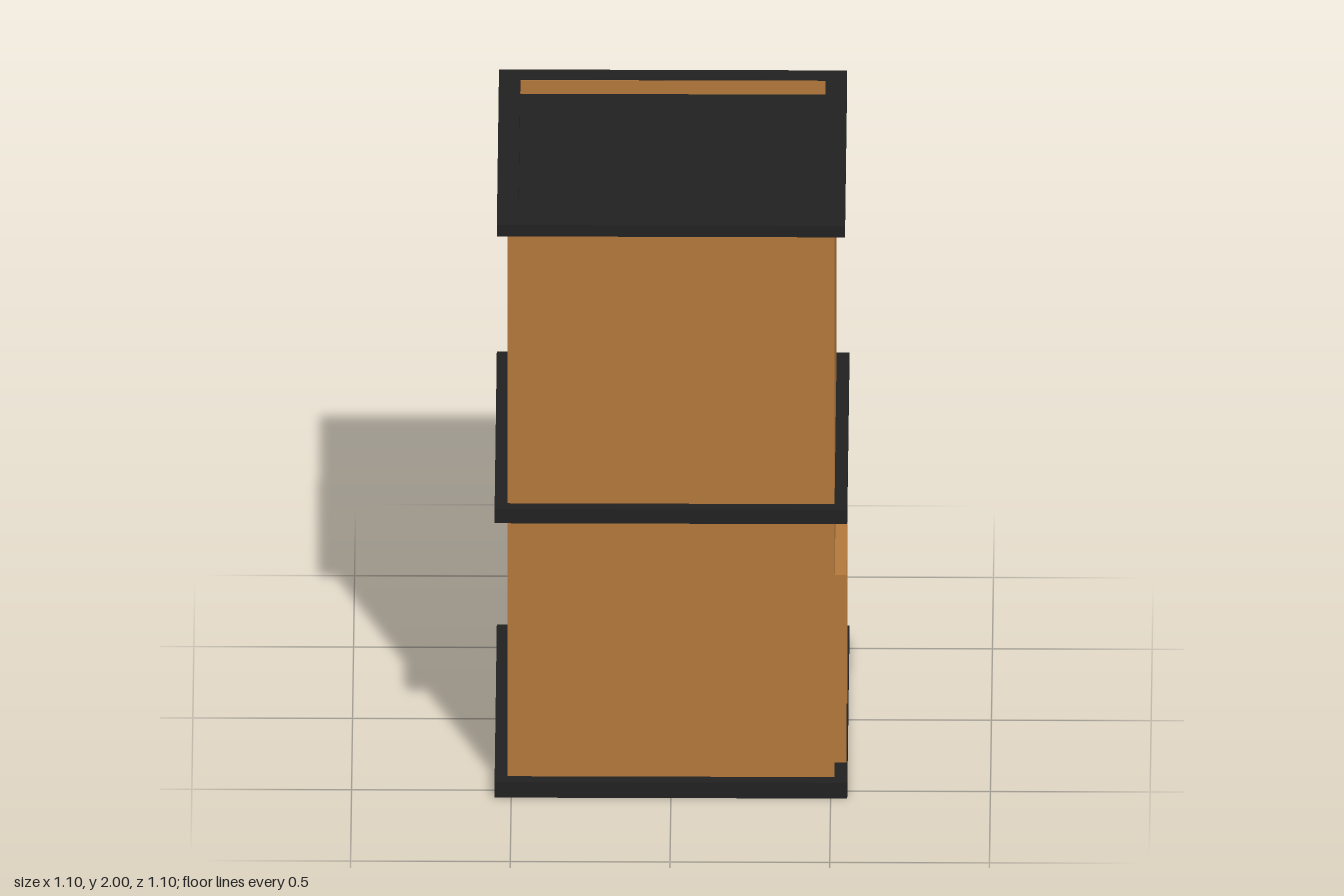
import * as THREE from 'three';

const mat = (color) => new THREE.MeshStandardMaterial({ color, side: THREE.DoubleSide });
const ORANGE = mat(0xb3793b), BLACK = mat(0x212121), DOOR = mat(0x240f10);
const KNOB = mat(0x0c0c0c), TRIM = mat(0xa8a8a8), GLASS = mat(0x606060);

// Rectangular frame in the xy plane, extruded along z
function frameGeometry(w, h, iw, ih, depth) {
  const rect = (P, a, b) => new P([
    new THREE.Vector2(-a / 2, -b / 2), new THREE.Vector2(a / 2, -b / 2),
    new THREE.Vector2(a / 2, b / 2), new THREE.Vector2(-a / 2, b / 2),
  ]);
  const shape = rect(THREE.Shape, w, h);
  shape.holes.push(rect(THREE.Path, iw, ih));
  return new THREE.ExtrudeGeometry(shape, { depth, bevelEnabled: false });
}

export function createModel() {
  const model = new THREE.Group();
  const add = (name, geometry, material, x, y, z, parent = model) => {
    const mesh = new THREE.Mesh(geometry, material);
    mesh.name = name;
    mesh.position.set(x, y, z);
    parent.add(mesh);
    return mesh;
  };
  // Square ring lying flat, from y0 to y1
  const ring = (name, outer, inner, y0, y1, material) =>
    add(name, frameGeometry(outer * 2, outer * 2, inner * 2, inner * 2, y1 - y0)
      .rotateX(-Math.PI / 2), material, 0, y0, 0);
  // Upright frame on the +x wall
  const sideFrame = (name, w, h, iw, ih, depth, material, x, y, z, parent) =>
    add(name, frameGeometry(w, h, iw, ih, depth).rotateY(Math.PI / 2), material, x, y, z, parent);

  // Hollow walls, open underneath
  ring('walls', 0.512, 0.482, 0.005, 1.98, ORANGE);

  // Dark bands around base, middle and roof edge
  ring('baseBand', 0.552, 0.478, 0, 0.055, BLACK);
  ring('middleBand', 0.552, 0.485, 0.96, 1.01, BLACK);
  ring('roofBand', 0.545, 0.478, 1.96, 2, BLACK);

  // Sunken flat roof, with the wall showing inside the back parapet
  add('roof', new THREE.BoxGeometry(0.964, 0.02, 0.964), BLACK, 0, 1.94, 0);
  add('parapetLining', new THREE.BoxGeometry(0.954, 0.047, 0.004), ORANGE, 0, 1.9735, -0.477);

  // Door with a thin projecting surround
  const door = new THREE.Group();
  door.name = 'door';
  model.add(door);
  const doorZ = 0.2, top = 0.71, bottom = 0.055;
  for (const side of [-1, 1])
    add('doorSurroundSide', new THREE.BoxGeometry(0.038, top - bottom, 0.004), ORANGE,
      0.53, (top + bottom) / 2, doorZ + side * 0.206, door);
  add('doorSurroundTop', new THREE.BoxGeometry(0.038, 0.004, 0.416), ORANGE,
    0.53, top - 0.002, doorZ, door);
  sideFrame('doorFrame', 0.408, 0.65, 0.36, 0.56, 0.012, DOOR, 0.51, 0.38, doorZ, door);
  add('doorPanel', new THREE.BoxGeometry(0.006, 0.65, 0.4), DOOR, 0.512, 0.38, doorZ, door);
  add('doorKnob', new THREE.SphereGeometry(0.019, 20, 14), KNOB, 0.525, 0.388, 0.08, door);

  // Window
  const win = new THREE.Group();
  win.name = 'window';
  model.add(win);
  sideFrame('windowFrame', 0.424, 0.345, 0.385, 0.31, 0.02, TRIM, 0.51, 0.43, -0.27, win);
  add('windowPane', new THREE.BoxGeometry(0.006, 0.32, 0.395), GLASS, 0.513, 0.43, -0.27, win);

  return model;
}
